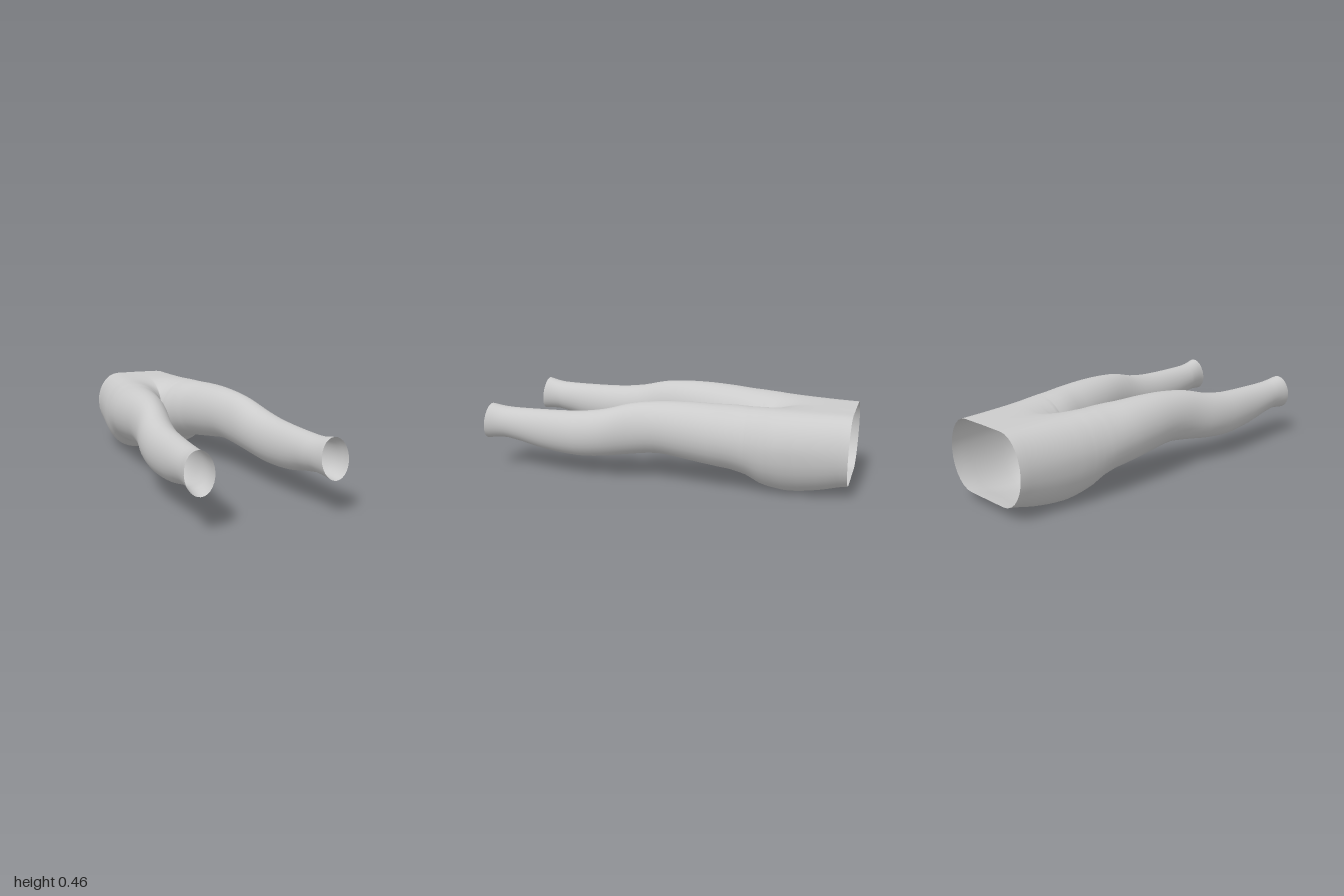
import * as THREE from 'three';
import { mergeVertices } from 'three/addons/utils/BufferGeometryUtils.js';

const CROTCH = -0.48;
const SUB = 3;    // rows per station
const QUARTER = 7; // points per quarter of a section

// Hip sections: z, top, bottom, outer x, widest y, x of top, x of bottom, centre-line top y, centre-line bottom y
const hips = [
  [-1.0, 0.437, 0.06, 0.277, 0.25, 0.14, 0.13, 0.438, 0.06],
  [-0.85, 0.437, 0.022, 0.295, 0.25, 0.15, 0.13, 0.437, 0.024],
  [-0.7, 0.439, 0.0, 0.317, 0.25, 0.16, 0.13, 0.43, 0.004],
  [-0.6, 0.442, 0.014, 0.33, 0.25, 0.17, 0.14, 0.405, 0.025],
  [-0.55, 0.444, 0.032, 0.336, 0.255, 0.18, 0.15, 0.375, 0.07],
  [-0.51, 0.445, 0.058, 0.341, 0.26, 0.185, 0.16, 0.335, 0.15],
  [CROTCH, 0.446, 0.08, 0.345, 0.265, 0.19, 0.175, 0.265, 0.265],
];

// Leg sections: z, inner x, outer x, top, bottom
const legs = [
  [-0.4, 0.03, 0.353, 0.449, 0.105],
  [-0.3, 0.067, 0.36, 0.452, 0.122],
  [-0.15, 0.1, 0.362, 0.455, 0.145],
  [0.0, 0.133, 0.36, 0.45, 0.165],
  [0.15, 0.168, 0.368, 0.432, 0.15],
  [0.3, 0.193, 0.395, 0.392, 0.13],
  [0.45, 0.21, 0.403, 0.37, 0.12],
  [0.65, 0.228, 0.4, 0.362, 0.138],
  [0.85, 0.245, 0.4, 0.36, 0.18],
  [0.93, 0.257, 0.403, 0.368, 0.183],
  [1.0, 0.264, 0.41, 0.377, 0.175],
];

// Every station in one form, with the inner x last
const stations = [
  ...hips.map((s) => [...s, 0]),
  ...legs.map(([z, xi, xo, t, b]) => {
    const x = (xi + xo) / 2, y = (t + b) / 2;
    return [z, t, b, xo, y, x, x, y, y, xi];
  }),
];

function catmull(a, b, c, d, t) {
  return 0.5 * (2 * b + (c - a) * t + (2 * a - 5 * b + 4 * c - d) * t * t + (3 * b - a - 3 * c + d) * t * t * t);
}

function stationAt(i, t) {
  const last = stations.length - 1;
  const at = (k) => stations[Math.min(last, Math.max(0, k))];
  const s = at(i).map((v, k) => catmull(at(i - 1)[k], v, at(i + 1)[k], at(i + 2)[k], t));
  s[0] = at(i)[0] + (at(i + 1)[0] - at(i)[0]) * t;
  if (i < hips.length - 1) s[9] = 0; // hips meet on the centre line
  else s[8] = s[7];                  // legs close on themselves
  return s;
}

// Half section: inner edge, over the top, outside, underneath, back to the inner edge
function section([z, top, bottom, xo, ym, xt, xb, yTop, yBottom, xi]) {
  const e = 1 + 2 * THREE.MathUtils.clamp((CROTCH - z) / 0.12, 0, 1);
  const points = [];
  for (let k = 0; k <= 4 * QUARTER; k++) {
    const q = Math.min(3, Math.floor(k / QUARTER));
    const a = (k / QUARTER - q) * Math.PI / 2;
    const s = Math.sin(a), c = Math.cos(a);
    let x, y;
    if (q === 0) [x, y] = [xi + (xt - xi) * (1 - c), yTop + (top - yTop) * s ** e];
    else if (q === 1) [x, y] = [xt + (xo - xt) * s, ym + (top - ym) * c];
    else if (q === 2) [x, y] = [xb + (xo - xb) * c, ym + (bottom - ym) * s];
    else [x, y] = [xi + (xb - xi) * (1 - s), yBottom + (bottom - yBottom) * Math.abs(c) ** e];
    // The hem slants back at the top
    const slant = 0.03 * THREE.MathUtils.clamp((z - 0.9) / 0.1, 0, 1);
    points.push([x, y, z - slant * (y - bottom) / (top - bottom)]);
  }
  return points;
}

export function createModel() {
  const rows = [];
  for (let i = 0; i < stations.length - 1; i++) {
    for (let j = 0; j < SUB; j++) rows.push(section(stationAt(i, j / SUB)));
  }
  rows.push(section(stations[stations.length - 1]));

  // One welded surface so that the shading runs on across the seams
  const n = 4 * QUARTER + 1;
  const crotchRow = (hips.length - 1) * SUB;
  const positions = [];
  const parts = { hips: [], leftLeg: [], rightLeg: [] };
  for (const side of [1, -1]) {
    const base = positions.length / 3;
    for (const row of rows) for (const [x, y, z] of row) positions.push(side * x, y, z);
    for (let r = 0; r < rows.length - 1; r++) {
      const index = r < crotchRow ? parts.hips : side > 0 ? parts.leftLeg : parts.rightLeg;
      for (let k = 0; k < n - 1; k++) {
        const a = base + r * n + k, b = a + n;
        if (side > 0) index.push(a, b, a + 1, b, b + 1, a + 1);
        else index.push(a, a + 1, b, b, a + 1, b + 1);
      }
    }
  }
  let surface = new THREE.BufferGeometry();
  surface.setAttribute('position', new THREE.Float32BufferAttribute(positions, 3));
  surface.setIndex(Object.values(parts).flat());
  surface = mergeVertices(surface, 1e-4);
  surface.computeVertexNormals();

  // Cut the welded surface into its named parts
  const material = new THREE.MeshStandardMaterial({ color: 0xcccccc, side: THREE.DoubleSide });
  const group = new THREE.Group();
  group.name = 'trousers';
  const welded = Array.from(surface.index.array);
  let start = 0;
  for (const [name, index] of Object.entries(parts)) {
    const geometry = new THREE.BufferGeometry();
    geometry.setAttribute('position', surface.attributes.position);
    geometry.setAttribute('normal', surface.attributes.normal);
    geometry.setIndex(welded.slice(start, start + index.length));
    start += index.length;
    const mesh = new THREE.Mesh(geometry, material);
    mesh.name = name;
    group.add(mesh);
  }
  return group;
}
